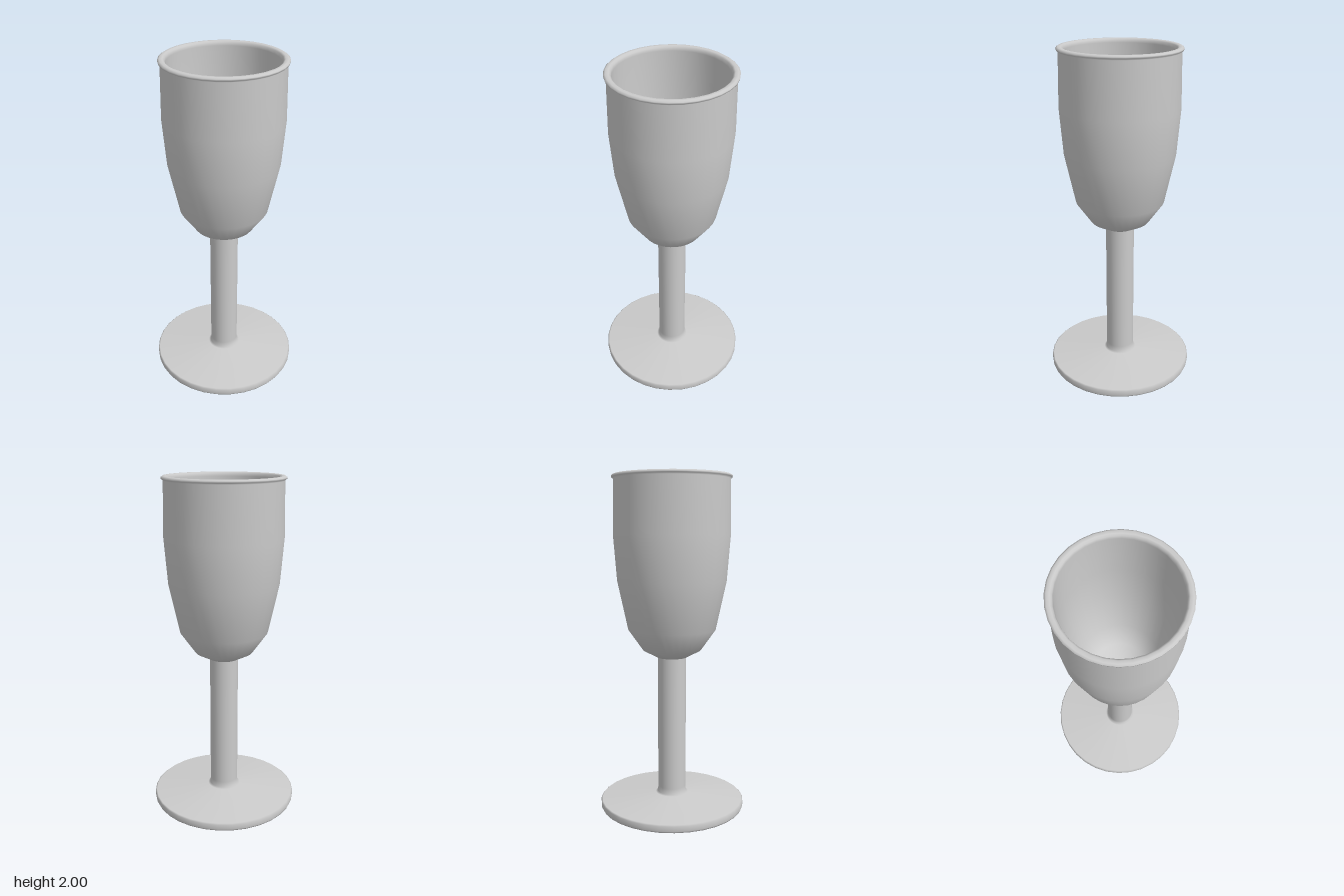
import * as THREE from 'three';

const SIDES = 32;

// Smooth solid of revolution from [radius, height] pairs
function turned(name, profile) {
  const points = profile.map(([r, y]) => new THREE.Vector2(r, y));
  const material = new THREE.MeshStandardMaterial({ color: 0xcccccc });
  const mesh = new THREE.Mesh(new THREE.LatheGeometry(points, SIDES), material);
  mesh.name = name;
  return mesh;
}

export function createModel() {
  const goblet = new THREE.Group();
  goblet.name = 'goblet';

  // Foot disc rising in a shallow cone into the stem
  goblet.add(turned('footAndStem', [
    [0, 0], [0.435, 0], [0.44, 0.01], [0.44, 0.04], [0.432, 0.047],
    [0.1, 0.078], [0.087, 0.085], [0.085, 0.12], [0.085, 0.94],
  ]));

  // Outer wall of the bowl, a rolled lip, then the inner wall down to the floor
  goblet.add(turned('bowl', [
    [0, 0.93], [0.09, 0.93], [0.175, 0.975], [0.263, 1.1], [0.325, 1.39],
    [0.346, 1.66], [0.34, 1.975],
    [0.351, 1.984], [0.352, 1.993], [0.342, 2], [0.325, 2], [0.315, 1.993], [0.311, 1.975],
    [0.315, 1.66], [0.294, 1.4], [0.236, 1.12], [0.16, 1.015], [0.08, 0.98], [0, 0.97],
  ]));

  return goblet;
}
